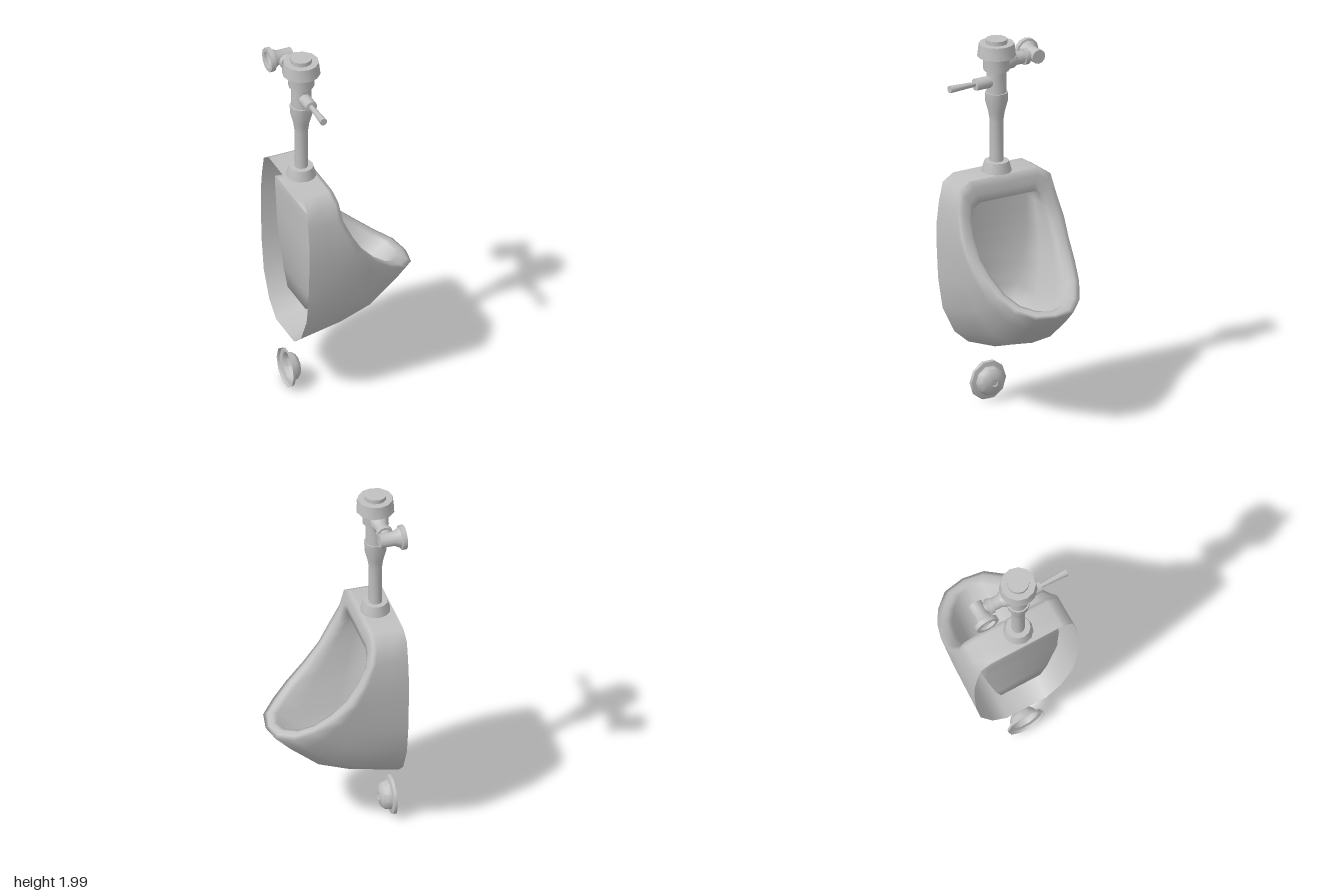
import * as THREE from 'three';
import { toCreasedNormals } from 'three/addons/utils/BufferGeometryUtils.js';

const ceramic = new THREE.MeshStandardMaterial({ color: 0xc0c0c0, side: THREE.DoubleSide });
ceramic.name = 'pale grey';

function add(group, name, geometry) {
  const mesh = new THREE.Mesh(geometry, ceramic);
  mesh.name = name;
  group.add(mesh);
}

// Turned part from [radius, distance] pairs, along the x, y or z axis
function turned(group, name, profile, axis, position, sides = 12) {
  const geo = new THREE.LatheGeometry(profile.map(([r, h]) => new THREE.Vector2(r, h)), sides);
  if (axis === 'x') geo.rotateZ(-Math.PI / 2);
  if (axis === 'z') geo.rotateX(Math.PI / 2);
  geo.translate(...position);
  add(group, name, toCreasedNormals(geo, 0.7));
}

// Half cross-sections [x, y, z], from top centre down one side to bottom centre
const backEdge = [[1.28, 0], [1.28, 0.205], [1.24, 0.27], [1.14, 0.292], [1.03, 0.306], [0.9, 0.306],
  [0.72, 0.297], [0.55, 0.27], [0.41, 0.2], [0.337, 0.115], [0.337, 0]].map(([y, z]) => [-0.335, y, z]);
const rimOuter = [[-0.162, 1.28, 0], [-0.162, 1.28, 0.205], [-0.155, 1.24, 0.27], [-0.14, 1.14, 0.293],
  [-0.084, 1.018, 0.308], [-0.03, 0.92, 0.303], [0.056, 0.825, 0.287], [0.156, 0.747, 0.252],
  [0.247, 0.686, 0.197], [0.322, 0.657, 0.115], [0.342, 0.652, 0]];
const rimInner = [[-0.145, 1.165, 0], [-0.145, 1.165, 0.165], [-0.138, 1.14, 0.207], [-0.122, 1.07, 0.222],
  [-0.085, 1.0, 0.23], [-0.02, 0.9, 0.228], [0.05, 0.82, 0.207], [0.13, 0.75, 0.18], [0.2, 0.7, 0.13],
  [0.26, 0.68, 0.07], [0.28, 0.67, 0]];
const basinBack = [[-0.3, 1.17, 0], [-0.3, 1.17, 0.165], [-0.3, 1.16, 0.205], [-0.298, 1.1, 0.21],
  [-0.295, 1.03, 0.208], [-0.292, 0.96, 0.206], [-0.29, 0.88, 0.204], [-0.284, 0.75, 0.175],
  [-0.28, 0.63, 0.148], [-0.27, 0.52, 0.115], [-0.23, 0.466, 0]];
const sagWeight = [0, 0, 0, 0, 0, 0.1, 0.25, 0.5, 0.8, 0.95, 1];

// Section between two others, with its lower part sagging and an optional shift
const between = (a, b, t, sag = 0, lift = [0, 0]) => a.map((p, i) => [
  p[0] + (b[i][0] - p[0]) * t + lift[0],
  p[1] + (b[i][1] - p[1]) * t - sag * sagWeight[i] + lift[1],
  p[2] + (b[i][2] - p[2]) * t,
]);

function bowlGeometry() {
  const halves = [
    backEdge,
    between(backEdge, rimOuter, 0.4, 0.077),
    between(backEdge, rimOuter, 0.65, 0.097),
    between(backEdge, rimOuter, 0.88, 0.042),
    rimOuter,
    between(rimOuter, rimInner, 0.35, 0, [0.004, 0.005]),
    between(rimOuter, rimInner, 0.7, 0, [0.005, 0.007]),
    rimInner,
    between(rimInner, basinBack, 0.2, 0.055),
    between(rimInner, basinBack, 0.6, 0.05),
    basinBack,
  ];
  // Mirror each half into a full loop
  const loops = halves.map((h) => [...h, ...h.slice(1, -1).reverse().map(([x, y, z]) => [x, y, -z])]);
  const n = loops[0].length;
  const index = [];
  for (let j = 0; j < loops.length - 1; j++) {
    for (let i = 0; i < n; i++) {
      const a = j * n + i, b = j * n + (i + 1) % n;
      index.push(a, b, a + n, b, b + n, a + n);
    }
  }
  // Back wall of the basin
  const s = (loops.length - 1) * n;
  for (let i = 0; i < n / 2; i++) {
    const a = s + i, b = a + 1, c = s + (n - i) % n, d = s + n - i - 1;
    if (i < n / 2 - 1) index.push(a, b, d);
    if (i > 0) index.push(a, d, c);
  }
  const geo = new THREE.BufferGeometry();
  geo.setAttribute('position', new THREE.Float32BufferAttribute(loops.flat(2), 3));
  geo.setIndex(index);
  geo.computeVertexNormals();
  return geo;
}

export function createModel() {
  const model = new THREE.Group();
  model.name = 'urinal';

  add(model, 'bowl', bowlGeometry());
  const drain = new THREE.SphereGeometry(0.063, 10, 5, 0, Math.PI * 2, 0, Math.PI / 2);
  drain.translate(-0.095, 0.5, 0);
  add(model, 'drainDome', drain);

  // Flush valve column
  const valve = new THREE.Group();
  valve.name = 'flushValve';
  model.add(valve);
  const vx = -0.245;
  turned(valve, 'inletCollar', [[0.08, 1.27], [0.078, 1.285], [0.064, 1.335], [0.035, 1.335]], 'y', [vx, 0, 0]);
  turned(valve, 'supplyTube', [[0.035, 1.335], [0.035, 1.55], [0.042, 1.6], [0.058, 1.66], [0.06, 1.71], [0.052, 1.71]],
    'y', [vx, 0, 0]);
  turned(valve, 'valveBody', [[0.052, 1.71], [0.052, 1.832], [0.068, 1.832], [0.072, 1.91]], 'y', [vx, 0, 0]);
  turned(valve, 'valveCap', [[0.072, 1.908], [0.1, 1.908], [0.092, 1.977], [0.057, 1.977],
    [0.057, 2], [0, 2]], 'y', [vx, 0, 0]);

  // Flush lever
  turned(valve, 'leverHub', [[0.032, 0.04], [0.032, 0.13], [0.013, 0.133]], 'z', [vx, 1.772, 0]);
  turned(valve, 'lever', [[0.013, 0.13], [0.02, 0.284], [0, 0.284]], 'z', [vx, 1.775, 0], 10);

  // Side connection and wall flange
  turned(valve, 'sidePipe', [[0, -0.225], [0.03, -0.195], [0.03, -0.182], [0.043, -0.182], [0.043, -0.156],
    [0.035, -0.156], [0.035, -0.11], [0.046, -0.09], [0.046, -0.04]], 'z', [vx, 1.87, 0]);
  turned(valve, 'wallPipe', [[0.045, -0.335], [0.065, -0.335], [0.065, -0.31], [0.055, -0.308],
    [0.038, -0.275], [0.038, -0.2], [0, -0.2]], 'x', [0, 1.87, -0.228]);

  // Hollow wall cap below the bowl
  turned(model, 'wallCap', [[0.108, -0.335], [0.104, -0.32], [0.08, -0.315], [0.074, -0.29],
    [0.056, -0.27], [0.02, -0.261], [0.014, -0.266], [0, -0.266]], 'x', [0, 0.108, 0], 10);

  return model;
}
